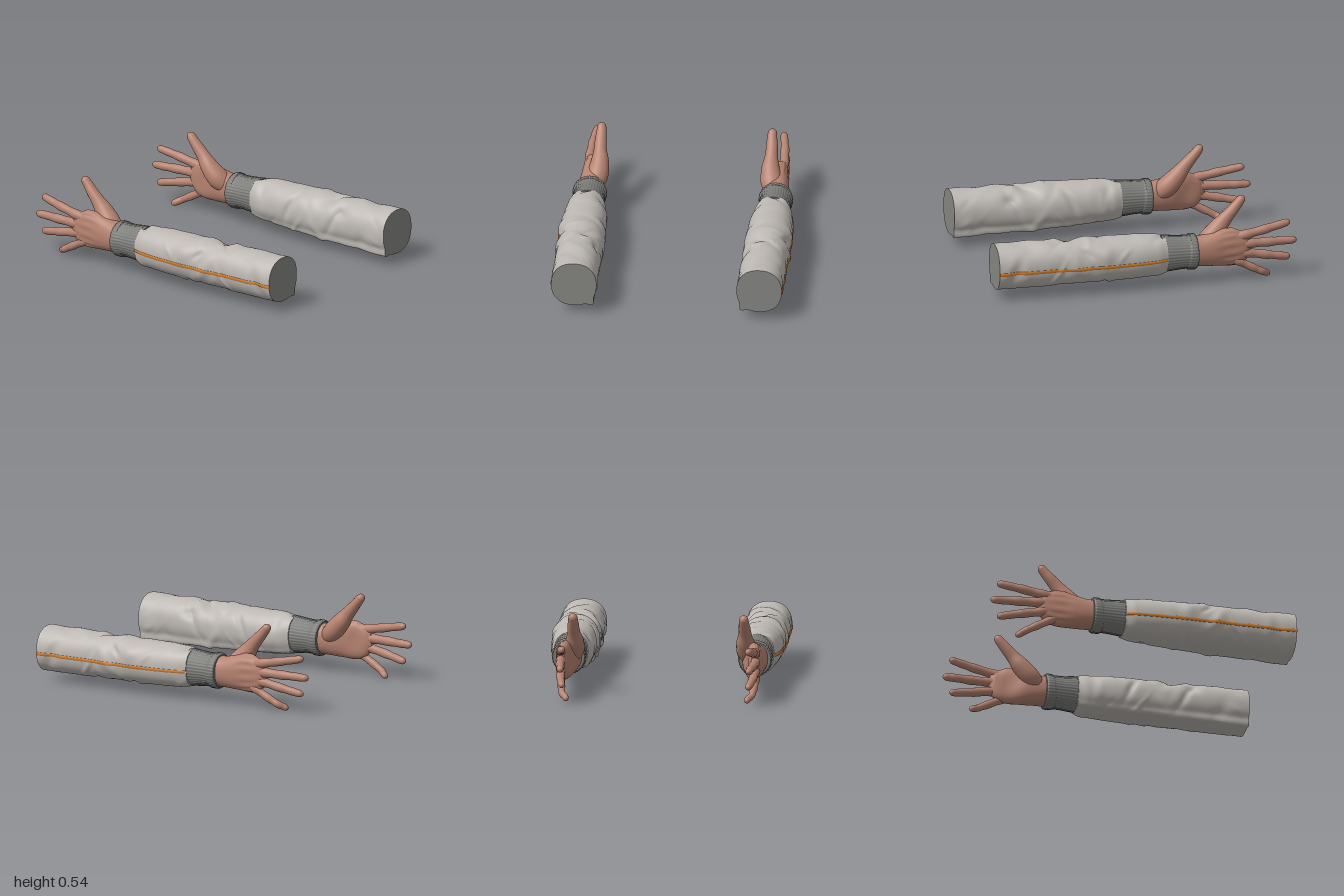
import * as THREE from 'three';

const paint = (name, color) => {
  const m = new THREE.MeshStandardMaterial({ color });
  m.name = name;
  return m;
};
const fabric = paint('light grey fabric', 0xbdb8b3);
const ribbing = paint('dark grey ribbing', 0x7b7b78);
const lining = paint('grey lining', 0x868683);
const piping = paint('orange piping', 0xd08030);
const skin = paint('skin', 0xb58270);

// Seeded random numbers for the fabric folds
let seed = 11;
const rnd = () => (seed = (seed * 16807) % 2147483647) / 2147483647;
const folds = Array.from({ length: 64 }, (_, i) => ({
  // a third of the folds gather at the elbow
  z: i % 3 ? -0.1 + rnd() * 1.05 : 0.38 + rnd() * 0.25,
  a: rnd() * Math.PI * 2,
  depth: (rnd() - 0.6) * 0.026,
  width: 0.018 + rnd() * 0.035,
  spread: 0.3 + rnd() * 0.5,
  slant: (rnd() - 0.5) * 0.3,
}));
const wrap = (a) => Math.atan2(Math.sin(a), Math.cos(a));

function sleeveBulge(a, p) {
  let d = 0;
  for (const f of folds) {
    const da = wrap(a - f.a);
    const dz = p.z - f.z - f.slant * da;
    d += f.depth * Math.exp(-((dz / f.width) ** 2) - (da / f.spread) ** 2);
  }
  // lengthwise crease on the lower inner side, strongest at the open end
  const crease = Math.exp(-((wrap(a - 3.86) / 0.17) ** 2));
  const fade = THREE.MathUtils.smoothstep(p.z, -0.15, 1);
  return d * (1 - 0.7 * THREE.MathUtils.smoothstep(p.z, 0.9, 1)) + crease * (0.008 + 0.024 * fade);
}

// Smooth section sampler: stations are [x, y, z, height radius, width radius]
function sampler(stations, { bulge = () => 0, tip = 0, square = 2 } = {}) {
  const path = new THREE.CatmullRomCurve3(stations.map((s) => new THREE.Vector3(s[0], s[1], s[2])));
  const size = new THREE.CatmullRomCurve3(
    stations.map((s) => new THREE.Vector3(s[3], s[4] ?? s[3], 0)), false, 'catmullrom', 0.4);
  const X = new THREE.Vector3(1, 0, 0);
  const soft = (v) => Math.sign(v) * Math.abs(v) ** (2 / square);
  return (t, a, lift = 0) => {
    const p = path.getPoint(t), T = path.getTangent(t), r = size.getPoint(t);
    const A = X.clone().cross(T).normalize(), B = T.clone().cross(A);
    const k = tip && t > 1 - tip ? Math.sqrt(Math.max(0, 1 - ((t - 1 + tip) / tip) ** 2)) : 1;
    const b = bulge(a, p) + lift;
    return p.addScaledVector(A, soft(Math.cos(a)) * r.x * k + Math.cos(a) * b)
      .addScaledVector(B, soft(Math.sin(a)) * r.y * k + Math.sin(a) * b);
  };
}

function build(points, index, side) {
  const g = new THREE.BufferGeometry();
  g.setAttribute('position', new THREE.Float32BufferAttribute(
    points.flatMap((p) => [p.x * side, p.y, p.z]), 3));
  if (side < 0) index.reverse();
  g.setIndex(index);
  g.computeVertexNormals();
  return g;
}

// Closed skin around the sections, with a fan at each requested end
function loft(at, rings, segs, side, { start = true, ease = false } = {}) {
  const points = [], index = [];
  for (let i = 0; i <= rings; i++) {
    const t = ease ? Math.sin((i / rings) * Math.PI / 2) : i / rings;
    for (let j = 0; j < segs; j++) points.push(at(t, (j / segs) * Math.PI * 2));
  }
  for (let i = 0; i < rings; i++) for (let j = 0; j < segs; j++) {
    const a = i * segs + j, b = i * segs + (j + 1) % segs;
    index.push(a, b, a + segs, b, b + segs, a + segs);
  }
  const fan = (row, flip) => {
    const ring = points.slice(row * segs, row * segs + segs);
    const c = ring.reduce((s, p) => s.add(p), new THREE.Vector3()).divideScalar(segs);
    const n = points.push(c, ...ring) - segs;
    for (let j = 0; j < segs; j++) {
      const a = n + j, b = n + (j + 1) % segs;
      index.push(n - 1, flip ? b : a, flip ? a : b);
    }
  };
  if (start) fan(0, true);
  if (!ease) fan(rings, false);
  return build(points, index, side);
}

function createArm(side) {
  const arm = new THREE.Group();
  arm.name = side > 0 ? 'leftArm' : 'rightArm';
  const add = (name, geometry, material, parent = arm) => {
    const m = new THREE.Mesh(geometry, material);
    m.name = name;
    parent.add(m);
  };

  // Sleeve
  const sleeve = sampler([
    [0.597, 0.215, 1, 0.148, 0.146], [0.598, 0.215, 0.7, 0.147, 0.147],
    [0.598, 0.214, 0.4, 0.146, 0.15], [0.6, 0.214, 0.1, 0.14, 0.142],
    [0.6, 0.216, -0.06, 0.134, 0.126], [0.6, 0.217, -0.125, 0.122, 0.108],
  ], { bulge: sleeveBulge, square: 2.25 });
  add('sleeve', loft(sleeve, 120, 96, side, { start: false }), fabric);

  // Flat closure of the sleeve's open end
  const rim = Array.from({ length: 96 }, (_, j) => sleeve(0, (j / 96) * Math.PI * 2));
  const capIndex = [];
  for (let j = 0; j < 96; j++) capIndex.push(96, (j + 1) % 96, j);
  add('sleeveEnd', build([...rim, new THREE.Vector3(0.597, 0.215, 1)], capIndex, side), lining);

  // Piping along the outer side
  const strip = [], stripIndex = [], cols = [[1.59, -0.003], [1.61, 0.005], [1.71, 0.005], [1.73, -0.003]];
  for (let i = 0; i <= 120; i++) for (const [a, lift] of cols) strip.push(sleeve((i / 120) * 0.985, a, lift));
  for (let i = 0; i < 120; i++) for (let j = 0; j < 3; j++) {
    const a = i * 4 + j;
    stripIndex.push(a, a + 1, a + 4, a + 1, a + 5, a + 4);
  }
  add('piping', build(strip, stripIndex, side), piping);

  // Ribbed cuff with a rolled rim
  const cuff = sampler([
    [0.6, 0.217, -0.1, 0.122, 0.104], [0.6, 0.217, -0.16, 0.116, 0.104],
    [0.6, 0.217, -0.22, 0.11, 0.103], [0.6, 0.217, -0.27, 0.109, 0.104],
    [0.6, 0.216, -0.285, 0.116, 0.109], [0.6, 0.216, -0.32, 0.116, 0.109],
    [0.6, 0.216, -0.332, 0.108, 0.102],
  ], { bulge: (a) => 0.0018 * Math.cos(a * 36) });
  add('cuff', loft(cuff, 40, 144, side), ribbing);

  // Hand: palm, four fingers and thumb
  const hand = new THREE.Group();
  hand.name = 'hand';
  arm.add(hand);
  const palm = sampler([
    [0.6, 0.216, -0.3, 0.098, 0.085], [0.6, 0.216, -0.37, 0.101, 0.08],
    [0.602, 0.222, -0.45, 0.112, 0.072], [0.607, 0.23, -0.53, 0.124, 0.058],
    [0.614, 0.233, -0.6, 0.12, 0.046], [0.62, 0.243, -0.655, 0.092, 0.034],
    [0.62, 0.247, -0.69, 0.06, 0.018],
  ], {
    square: 2.2,
    // hollow of the palm and faint tendons on the back
    bulge: (a, p) => {
      const k = Math.exp(-(((p.z + 0.56) / 0.07) ** 2));
      return Math.sin(a) < 0 ? -0.014 * k * Math.sin(a) ** 4 : 0.003 * k * Math.cos(a * 14);
    },
  });
  add('palm', loft(palm, 40, 56, side), skin, hand);

  // name, knuckle y z, tip x y z, thickness
  const fingers = [
    ['indexFinger', 0.308, -0.65, 0.597, 0.368, -0.957, 1],
    ['middleFinger', 0.25, -0.67, 0.603, 0.245, -1, 1.02],
    ['ringFinger', 0.19, -0.655, 0.597, 0.132, -0.957, 0.98],
    ['littleFinger', 0.14, -0.6, 0.58, 0.018, -0.828, 0.88],
  ];
  // along the finger, sideways bow, radius
  const joints = [[-0.4, 0.6, 0.026], [0, 0.626, 0.033], [0.22, 0.623, 0.028], [0.45, 0.62, 0.03],
    [0.6, 0.615, 0.026], [0.74, 0.61, 0.0265], [0.88, 0, 0.0245], [1, 0, 0.021]];
  for (const [name, ky, kz, tx, ty, tz, w] of fingers) {
    const at = sampler(joints.map(([f, x, r]) => [
      x || tx + (1 - f) * 0.06, ky + (ty - ky) * f, kz + (tz - kz) * f, r * w, r * w * 0.95,
    ]), { tip: 0.1 });
    add(name, loft(at, 44, 20, side, { ease: true }), skin, hand);
  }

  const thumb = sampler([
    [0.59, 0.22, -0.36, 0.05, 0.05], [0.562, 0.28, -0.43, 0.066, 0.07],
    [0.55, 0.35, -0.495, 0.058, 0.058], [0.552, 0.41, -0.545, 0.044, 0.042],
    [0.552, 0.455, -0.585, 0.037, 0.038], [0.55, 0.505, -0.628, 0.031, 0.032],
    [0.552, 0.547, -0.662, 0.025, 0.026],
  ], { tip: 0.08 });
  add('thumb', loft(thumb, 44, 28, side, { ease: true }), skin, hand);
  return arm;
}

export function createModel() {
  const model = new THREE.Group();
  model.name = 'pairOfArms';
  model.add(createArm(1), createArm(-1));
  return model;
}
